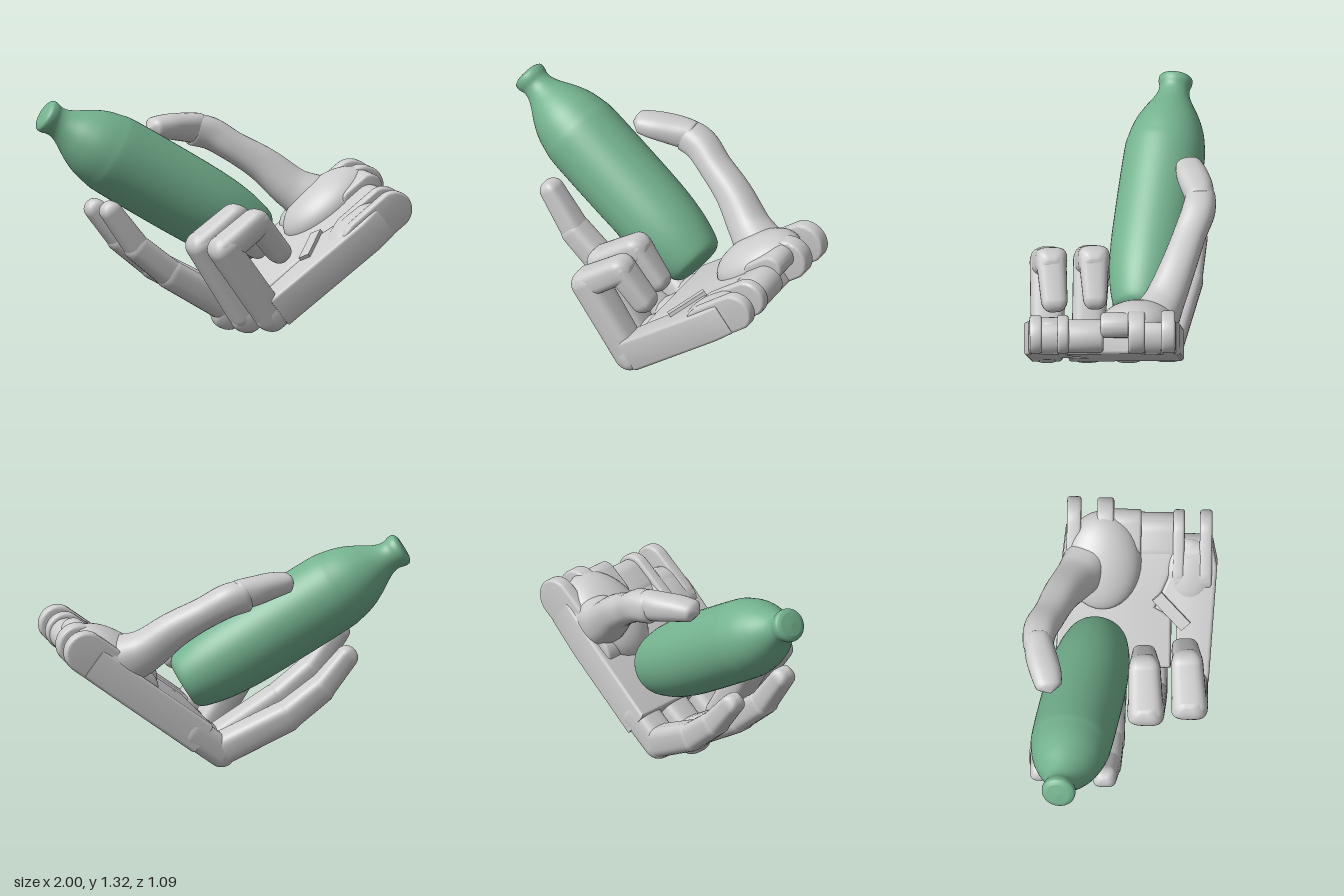
import * as THREE from 'three';
import { toCreasedNormals } from 'three/addons/utils/BufferGeometryUtils.js';

const grey = new THREE.MeshStandardMaterial({ color: 0xcccccc, side: THREE.DoubleSide });
const green = new THREE.MeshStandardMaterial({ color: 0x74b28f, side: THREE.DoubleSide });
const V = (x, y, z) => new THREE.Vector3(x, y, z);

function add(parent, name, geometry, material = grey) {
  const mesh = new THREE.Mesh(geometry, material);
  mesh.name = name;
  parent.add(mesh);
  return mesh;
}

// Skin through superellipse rings { p, w, t }: w is half width (near z), t half thickness
function loft(rings, power, sides = 28) {
  const pos = [], index = [], last = rings.length - 1;
  rings.forEach((r, i) => {
    const d = rings[Math.min(i + 1, last)].p.clone().sub(rings[Math.max(i - 1, 0)].p).normalize();
    const across = V(0, 0, 1).addScaledVector(d, -d.z).normalize();
    const up = d.clone().cross(across);
    for (let k = 0; k < sides; k++) {
      const a = (k / sides) * Math.PI * 2, c = Math.cos(a), s = Math.sin(a);
      const q = r.p.clone()
        .addScaledVector(across, r.w * Math.sign(c) * Math.abs(c) ** (2 / power))
        .addScaledVector(up, r.t * Math.sign(s) * Math.abs(s) ** (2 / power));
      pos.push(q.x, q.y, q.z);
      if (i < last) {
        const j = (k + 1) % sides, A = i * sides + k, B = i * sides + j;
        index.push(A, B, A + sides, B, B + sides, A + sides);
      }
    }
  });
  const g = new THREE.BufferGeometry();
  g.setAttribute('position', new THREE.Float32BufferAttribute(pos, 3));
  g.setIndex(index);
  g.computeVertexNormals();
  return g;
}

// Finger bone with rounded ends between two joints, tapering from size a to size b
function bone(p0, p1, a, b) {
  const len = p0.distanceTo(p1), rings = [], n = 7;
  const ring = (s, k) => {
    const f = THREE.MathUtils.clamp(s / len, 0, 1);
    const w = THREE.MathUtils.lerp(a[0], b[0], f), t = THREE.MathUtils.lerp(a[1], b[1], f);
    rings.push({ p: p0.clone().lerp(p1, s / len), w: w * (0.2 + 0.8 * k), t: t * k });
  };
  for (let i = 0; i <= n; i++) {
    const q = (i / n) * Math.PI / 2;
    ring(-a[1] * Math.cos(q), Math.sin(q));
  }
  for (let i = 0; i <= n; i++) {
    const q = (i / n) * Math.PI / 2;
    ring(len + b[1] * Math.sin(q), Math.cos(q));
  }
  return loft(rings, 3.2);
}

// Slab with a rounded profile in (u, n), extruded from z0 to z1
function slab(u0, u1, n0, n1, z0, z1) {
  const r = (n1 - n0) / 2, m = (n0 + n1) / 2, b = 0.015, s = new THREE.Shape();
  s.absarc(u1 - r, m, r, -Math.PI / 2, Math.PI / 2, false);
  s.absarc(u0 + r, m, r, Math.PI / 2, Math.PI * 1.5, false);
  const g = new THREE.ExtrudeGeometry(s, { depth: z1 - z0 - 2 * b, bevelSize: b, bevelOffset: -b, bevelThickness: b, bevelSegments: 3, curveSegments: 14 });
  return toCreasedNormals(g.translate(0, 0, z0 + b), 0.6);
}

// Plate with an outline in (u, z) between heights n0 and n1
function plate(outline, n0, n1) {
  const b = 0.018, s = new THREE.Shape(outline.map(([u, z]) => new THREE.Vector2(u, z)));
  const g = new THREE.ExtrudeGeometry(s, { depth: n1 - n0 - 2 * b, bevelSize: b, bevelOffset: -b, bevelThickness: b, bevelSegments: 3 });
  return toCreasedNormals(g.rotateX(Math.PI / 2).translate(0, n1 - b, 0), 0.6);
}

// Smooth limb through stations [x, y, z, half width, half thickness]
function limb(stations, steps) {
  const path = new THREE.CatmullRomCurve3(stations.map((s) => V(s[0], s[1], s[2])));
  const size = new THREE.CatmullRomCurve3(stations.map((s) => V(s[3], s[4], 0)));
  return loft(Array.from({ length: steps + 1 }, (_, i) => {
    const s = size.getPoint(i / steps);
    return { p: path.getPoint(i / steps), w: Math.max(s.x, 0.001), t: Math.max(s.y, 0.001) };
  }), 2.4);
}

export function createModel() {
  const model = new THREE.Group();

  // Palm, built flat and then tilted: x runs from knuckles to wrist
  const palm = new THREE.Group();
  palm.name = 'palm';
  palm.position.set(0.08, 0.003, 0);
  palm.rotation.z = 0.648;
  model.add(palm);
  add(palm, 'palmPlate', plate([[0.24, -0.36], [0.24, 0.29], [0.54, 0.29], [0.6, 0.2], [0.86, 0.31], [1.03, 0.31],
    [1.03, -0.13], [0.93, -0.14], [0.93, -0.22], [1.03, -0.23], [1.03, -0.31], [0.8, -0.335]], 0, 0.19));
  add(palm, 'outerPalmPlate', plate([[0.16, 0.325], [0.16, 0.505], [0.5, 0.525], [0.84, 0.545], [0.96, 0.52], [0.93, 0.45],
    [0.93, 0.3], [0.85, 0.3], [0.59, 0.195], [0.53, 0.315]], 0.005, 0.195));
  const ridge = add(palm, 'palmRidge', new THREE.BoxGeometry(0.24, 0.06, 0.07));
  ridge.position.set(0.58, 0.185, 0.29);
  ridge.rotation.y = 0.75;

  // Rounded knuckle strips under each finger
  for (const [u0, u1, z] of [[0.04, 0.4, 0.41], [-0.03, 0.3, 0.18], [-0.06, 0.3, -0.05], [0.0, 0.3, -0.27]])
    add(palm, 'knuckle', bone(V(u0 + 0.085, 0.088, z), V(u1, 0.09, z), [0.092, 0.086], [0.092, 0.088]));

  // Wrist: two thick cheeks, the hinge lugs on them and the blocks between
  for (const [u0, u1, n0, n1, z0, z1] of [[0.6, 1.02, 0.005, 0.235, -0.305, -0.04], [0.68, 1.01, 0.01, 0.215, 0.3, 0.515]])
    add(palm, 'wristCheek', slab(u0, u1, n0, n1, z0, z1));
  for (const [u1, n0, n1, z0, z1] of [[1.22, 0, 0.24, -0.305, -0.225], [1.215, 0, 0.24, -0.135, -0.04],
    [1.15, 0.005, 0.22, 0.295, 0.36], [1.15, 0.005, 0.22, 0.445, 0.515]])
    add(palm, 'wristLug', slab(0.7, u1, n0, n1, z0, z1));
  add(palm, 'wristPin', slab(0.9, 1.165, 0.09, 0.23, -0.05, 0.115));
  add(palm, 'wristBlock', slab(0.85, 1.13, 0.01, 0.195, 0.1, 0.31));

  // Domed swellings on the inner face, at the root of the thumb and on the outer side
  for (const [name, u, z, ru, h, rz] of [['thumbMound', 0.87, -0.1, 0.29, 0.145, 0.22], ['outerMound', 0.82, 0.39, 0.18, 0.05, 0.13]]) {
    const mound = add(palm, name, new THREE.SphereGeometry(1, 36, 14, 0, Math.PI * 2, 0, Math.PI / 2));
    mound.scale.set(ru, h, rz);
    mound.position.set(u, 0.17, z);
  }

  // Fingers: joint positions, then half width and half thickness at each joint
  const fingers = {
    littleFinger: [[[0.13, 0.15, 0.41], [-0.15, 0.545, 0.4], [0.05, 0.685, 0.385], [0.19, 0.51, 0.37]],
      [[0.09, 0.088], [0.105, 0.085], [0.09, 0.077], [0.075, 0.067]]],
    ringFinger: [[[0.06, 0.13, 0.18], [-0.185, 0.53, 0.155], [0.02, 0.675, 0.145], [0.15, 0.5, 0.14]],
      [[0.09, 0.088], [0.105, 0.085], [0.09, 0.077], [0.068, 0.067]]],
    middleFinger: [[[0.05, 0.13, -0.05], [-0.29, 0.335, -0.05], [-0.49, 0.5, -0.06], [-0.65, 0.72, -0.07]],
      [[0.09, 0.088], [0.088, 0.085], [0.082, 0.075], [0.067, 0.06]]],
    indexFinger: [[[0.09, 0.14, -0.27], [-0.26, 0.335, -0.385], [-0.45, 0.49, -0.42], [-0.6, 0.67, -0.43]],
      [[0.09, 0.088], [0.088, 0.085], [0.08, 0.075], [0.062, 0.06]]],
  };
  for (const [name, [joints, sizes]] of Object.entries(fingers)) {
    const finger = new THREE.Group();
    finger.name = name;
    model.add(finger);
    for (let i = 0; i < 3; i++) {
      const start = sizes[i].map((s) => s * (i ? 0.95 : 1));
      add(finger, ['lowerBone', 'middleBone', 'fingertip'][i], bone(V(...joints[i]), V(...joints[i + 1]), start, sizes[i + 1]));
    }
  }

  // Thumb: one limb with a swollen knuckle, plus the tip
  const thumb = new THREE.Group();
  thumb.name = 'thumb';
  model.add(thumb);
  add(thumb, 'thumbBone', limb([[0.66, 0.66, -0.18, 0.14, 0.16], [0.53, 0.74, -0.25, 0.115, 0.12], [0.38, 0.875, -0.33, 0.1, 0.1],
    [0.22, 0.98, -0.395, 0.092, 0.087], [0.1, 1.055, -0.445, 0.094, 0.092], [0.0, 1.08, -0.455, 0.085, 0.09], [-0.06, 1.09, -0.45, 0.001, 0.001]], 36));
  add(thumb, 'thumbTip', limb([[0.07, 1.08, -0.455, 0.001, 0.001], [0.04, 1.085, -0.455, 0.075, 0.085], [-0.06, 1.1, -0.44, 0.088, 0.08],
    [-0.17, 1.115, -0.41, 0.088, 0.07], [-0.26, 1.12, -0.39, 0.073, 0.055], [-0.3, 1.115, -0.38, 0.001, 0.001]], 30));

  // Bottle held in the grip, turned around its own axis from base to cap
  const base = V(0.293, 0.476, -0.115), top = V(-0.948, 1.25, -0.328);
  const curve = new THREE.SplineCurve([[0.13, 0.025], [0.162, 0.05], [0.187, 0.12], [0.21, 0.23], [0.225, 0.38], [0.23, 0.6],
    [0.229, 0.98], [0.218, 1.08], [0.195, 1.17], [0.158, 1.25], [0.116, 1.32], [0.092, 1.37], [0.086, 1.41], [0.095, 1.445],
    [0.092, 1.475], [0.065, 1.49]].map(([r, h]) => new THREE.Vector2(r, h)));
  const profile = [new THREE.Vector2(0, 0.02), ...curve.getPoints(64), new THREE.Vector2(0, 1.495)];
  const bottle = add(model, 'bottle', new THREE.LatheGeometry(profile, 48), green);
  bottle.position.copy(base);
  bottle.quaternion.setFromUnitVectors(V(0, 1, 0), top.clone().sub(base).normalize());

  return model;
}
